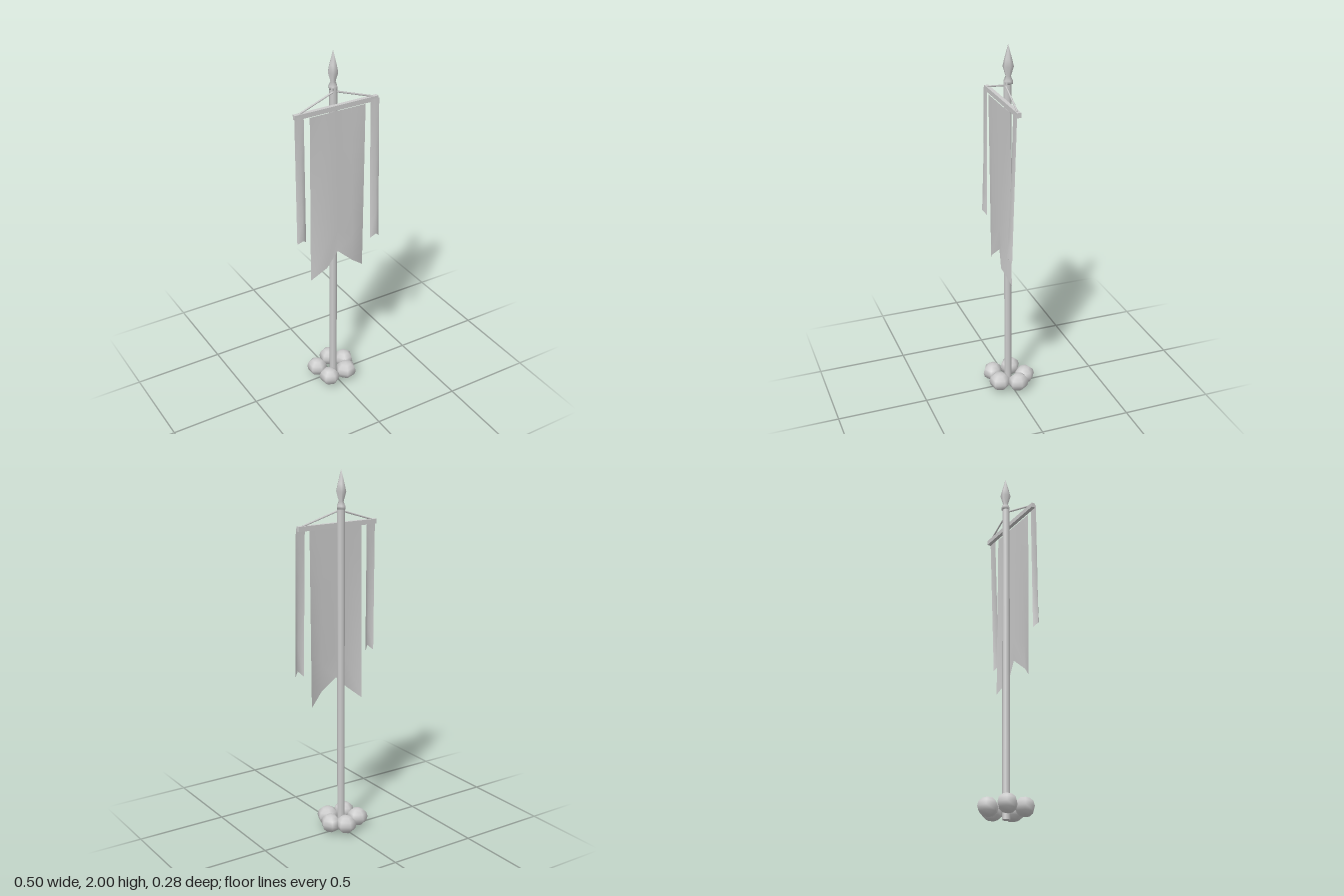
import * as THREE from 'three';

const grey = new THREE.MeshStandardMaterial({ color: 0xcccccc });
const clothGrey = new THREE.MeshStandardMaterial({ color: 0xcccccc, side: THREE.DoubleSide });
const POLE_Z = 0.012;

function part(name, geometry, material = grey) {
  const mesh = new THREE.Mesh(geometry, material);
  mesh.name = name;
  return mesh;
}

// Straight cylinder between two points
function rod(name, a, b, radius, sides) {
  const mesh = part(name, new THREE.CylinderGeometry(radius, radius, a.distanceTo(b), sides));
  mesh.position.copy(a).add(b).multiplyScalar(0.5);
  mesh.quaternion.setFromUnitVectors(new THREE.Vector3(0, 1, 0), b.clone().sub(a).normalize());
  return mesh;
}

// Hanging cloth: straight along the top, folding out towards a shaped hem.
// hem lists [x, y, z] from right to left.
function cloth(name, hem, topY, topZ) {
  const rows = 6;
  const geo = new THREE.PlaneGeometry(1, 1, hem.length - 1, rows);
  const pos = geo.attributes.position;
  for (let i = 0; i < pos.count; i++) {
    const [x, y, z] = hem[i % hem.length];
    const t = Math.floor(i / hem.length) / rows;
    pos.setXYZ(i, x, topY + (y - topY) * t, topZ + (z - topZ) * t);
  }
  geo.computeVertexNormals();
  return part(name, geo, clothGrey);
}

export function createModel() {
  const model = new THREE.Group();
  model.name = 'bannerStand';

  // Pole
  const pole = part('pole', new THREE.CylinderGeometry(0.021, 0.021, 1.81, 8));
  pole.position.set(0, 0.905, POLE_Z);
  model.add(pole);

  // Spear-shaped finial
  const profile = [[0, 1.79], [0.024, 1.795], [0.024, 1.812], [0.014, 1.835], [0.029, 1.885], [0.02, 1.925], [0, 2]];
  const finial = part('finial', new THREE.LatheGeometry(profile.map(([r, y]) => new THREE.Vector2(r, y)), 6));
  finial.rotation.y = Math.PI / 2;
  finial.position.z = POLE_Z - 0.003;
  model.add(finial);

  // Crossbar
  const bar = part('crossbar', new THREE.BoxGeometry(0.486, 0.026, 0.021));
  bar.position.set(0, 1.708, 0.042);
  model.add(bar);

  // Cords from the pole to the bar ends
  for (const side of [-1, 1]) {
    model.add(rod(side > 0 ? 'leftCord' : 'rightCord',
      new THREE.Vector3(0, 1.788, 0.024), new THREE.Vector3(side * 0.215, 1.72, 0.042), 0.005, 6));
  }

  // Swallow-tailed banner and two side streamers
  model.add(cloth('banner', [
    [-0.163, 0.73, 0.05], [-0.08, 0.8, 0.08], [0, 0.872, 0.06], [0.08, 0.8, 0.08], [0.163, 0.73, 0.05],
  ], 1.695, 0.058));
  model.add(cloth('rightStreamer', [
    [-0.248, 0.99, 0.06], [-0.222, 1.015, 0.08], [-0.195, 0.99, 0.06],
  ], 1.71, 0.055));
  model.add(cloth('leftStreamer', [
    [0.193, 0.905, 0.08], [0.22, 0.935, 0.098], [0.247, 0.905, 0.08],
  ], 1.71, 0.055));

  // Ring of rocks around the foot: x, z, turn, width
  const rocks = new THREE.Group();
  rocks.name = 'rocks';
  const places = [
    [-0.083, -0.03, 0.5, 0.054], [0.027, -0.078, 0.4, 0.056], [0.089, -0.018, 0.1, 0.054],
    [-0.066, 0.082, 0.6, 0.053], [0.046, 0.078, 0.2, 0.062],
  ];
  const rockGeo = new THREE.SphereGeometry(1, 6, 6);
  for (const [x, z, turn, width] of places) {
    const rock = part('rock', rockGeo);
    rock.position.set(x, 0.06, z);
    rock.scale.set(width, 0.051, 0.059);
    rock.rotation.y = turn;
    rocks.add(rock);
  }
  model.add(rocks);

  return model;
}
